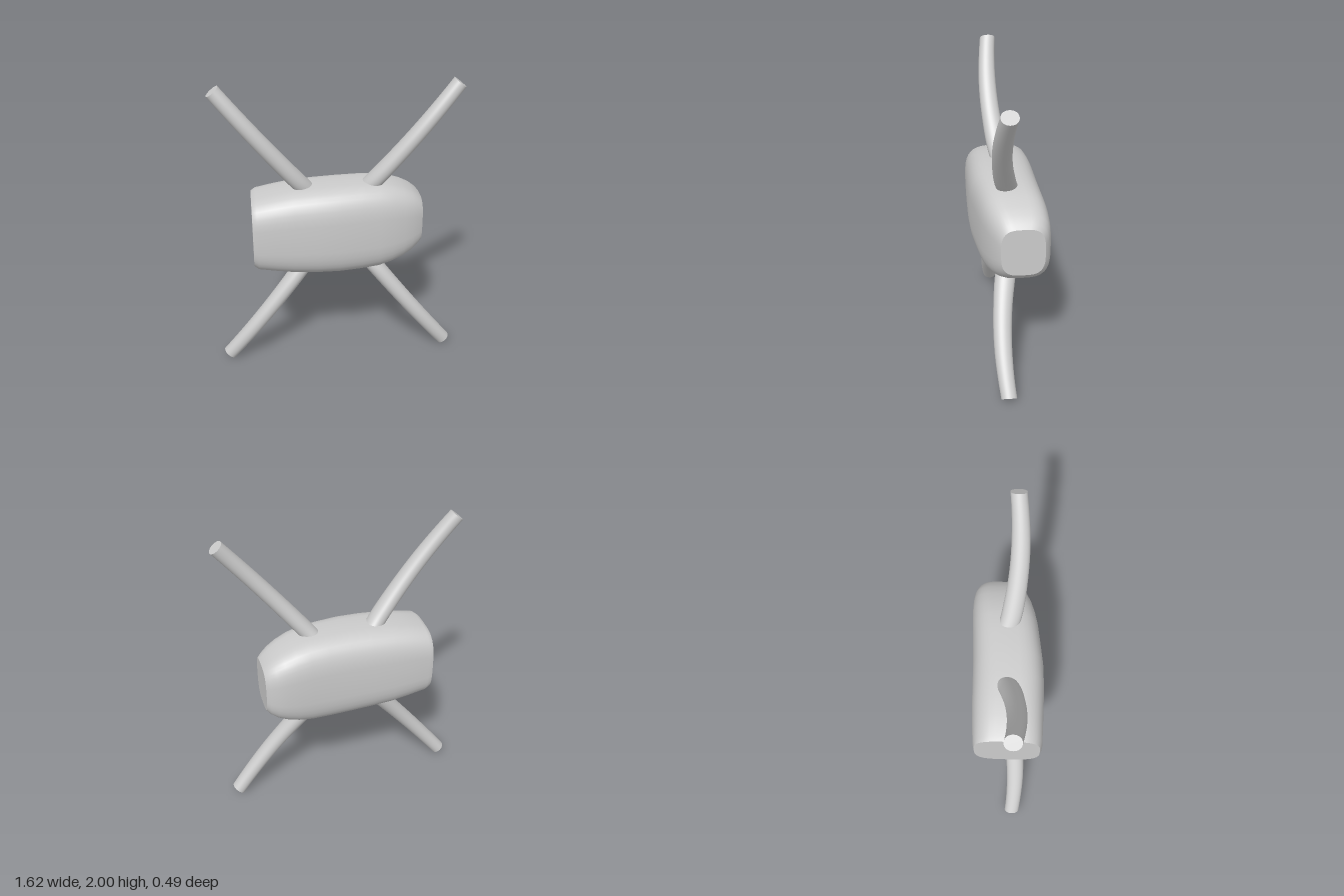
import * as THREE from 'three';

const SIDES = 40;
const material = new THREE.MeshStandardMaterial({ color: 0xcccccc });

// Skin a row of closed rings (arrays of Vector3) and cap both ends with sharp rims
function loft(rings) {
  const pos = [], index = [], n = rings[0].length;
  rings.forEach(ring => ring.forEach(p => pos.push(p.x, p.y, p.z)));
  for (let i = 0; i < rings.length - 1; i++) {
    for (let j = 0; j < n; j++) {
      const a = i * n + j, b = i * n + (j + 1) % n;
      index.push(a, b, b + n, a, b + n, a + n);
    }
  }
  [rings[0], rings[rings.length - 1]].forEach((ring, end) => {
    const start = pos.length / 3;
    const mid = new THREE.Vector3();
    ring.forEach(p => { pos.push(p.x, p.y, p.z); mid.addScaledVector(p, 1 / n); });
    pos.push(mid.x, mid.y, mid.z);
    for (let j = 0; j < n; j++) {
      const a = start + j, b = start + (j + 1) % n;
      if (end) index.push(start + n, a, b);
      else index.push(start + n, b, a);
    }
  });
  const geometry = new THREE.BufferGeometry();
  geometry.setAttribute('position', new THREE.Float32BufferAttribute(pos, 3));
  geometry.setIndex(index);
  geometry.computeVertexNormals();
  return geometry;
}

// Superellipse ring: u and v are the half-axes, power 2 is an ellipse, higher is boxier
function ring(center, u, v, power) {
  const bend = t => Math.sign(t) * Math.pow(Math.abs(t), 2 / power);
  return Array.from({ length: SIDES }, (_, j) => {
    const a = (j / SIDES) * Math.PI * 2;
    return center.clone().addScaledVector(u, bend(Math.cos(a))).addScaledVector(v, bend(Math.sin(a)));
  });
}

// Body sections along x: [x, half height, back z, front z]
function bodyGeometry() {
  const sections = [
    [-0.57, 0.23, -0.21, 0.222], [-0.54, 0.252, -0.218, 0.236], [-0.42, 0.276, -0.225, 0.239],
    [-0.3, 0.295, -0.23, 0.241], [-0.15, 0.306, -0.232, 0.242], [0, 0.312, -0.234, 0.235],
    [0.15, 0.311, -0.24, 0.215], [0.27, 0.304, -0.246, 0.198], [0.36, 0.285, -0.25, 0.178],
    [0.44, 0.256, -0.248, 0.152], [0.5, 0.225, -0.24, 0.125], [0.545, 0.19, -0.222, 0.098],
    [0.57, 0.162, -0.2, 0.078],
  ];
  return loft(sections.map(([x, h, back, front]) => ring(
    new THREE.Vector3(x, 1, (back + front) / 2),
    new THREE.Vector3(0, h, 0),
    new THREE.Vector3(0, 0, (front - back) / 2), 3.3)));
}

// Leg: straight from the front, bowed forward in z, tapering to a flat tip
function legGeometry(sx, sy) {
  const curve = new THREE.CatmullRomCurve3([
    [0.15, -0.035, 0.072], [0.235, 0.01, 0.07], [0.3, 0.03, 0.069], [0.4, 0.051, 0.064],
    [0.5, 0.063, 0.061], [0.6, 0.065, 0.058], [0.7, 0.057, 0.054], [0.772, 0.046, 0.052],
  ].map(p => new THREE.Vector3(...p))); // x, z, half depth
  const along = new THREE.Vector2(0.537 * sx, 0.67 * sy).normalize();
  const rings = [];
  for (let i = 0; i <= 20; i++) {
    const p = curve.getPoint(i / 20);
    const t = (p.x - 0.235) / 0.537;
    const width = 0.056 - 0.008 * Math.max(t, 0);
    rings.push(ring(
      new THREE.Vector3(p.x * sx, 1 + sy * (0.3 + 0.67 * t), p.y),
      new THREE.Vector3(-along.y * width, along.x * width, 0),
      new THREE.Vector3(0, 0, p.z), 2.1));
  }
  return loft(rings);
}

export function createModel() {
  const model = new THREE.Group();
  const add = (name, geometry) => {
    const mesh = new THREE.Mesh(geometry, material);
    mesh.name = name;
    model.add(mesh);
  };
  add('body', bodyGeometry());
  for (const [sy, level] of [[1, 'upper'], [-1, 'lower']]) {
    for (const [sx, side] of [[1, 'Left'], [-1, 'Right']]) {
      add(`${level}${side}Leg`, legGeometry(sx, sy));
    }
  }
  return model;
}
